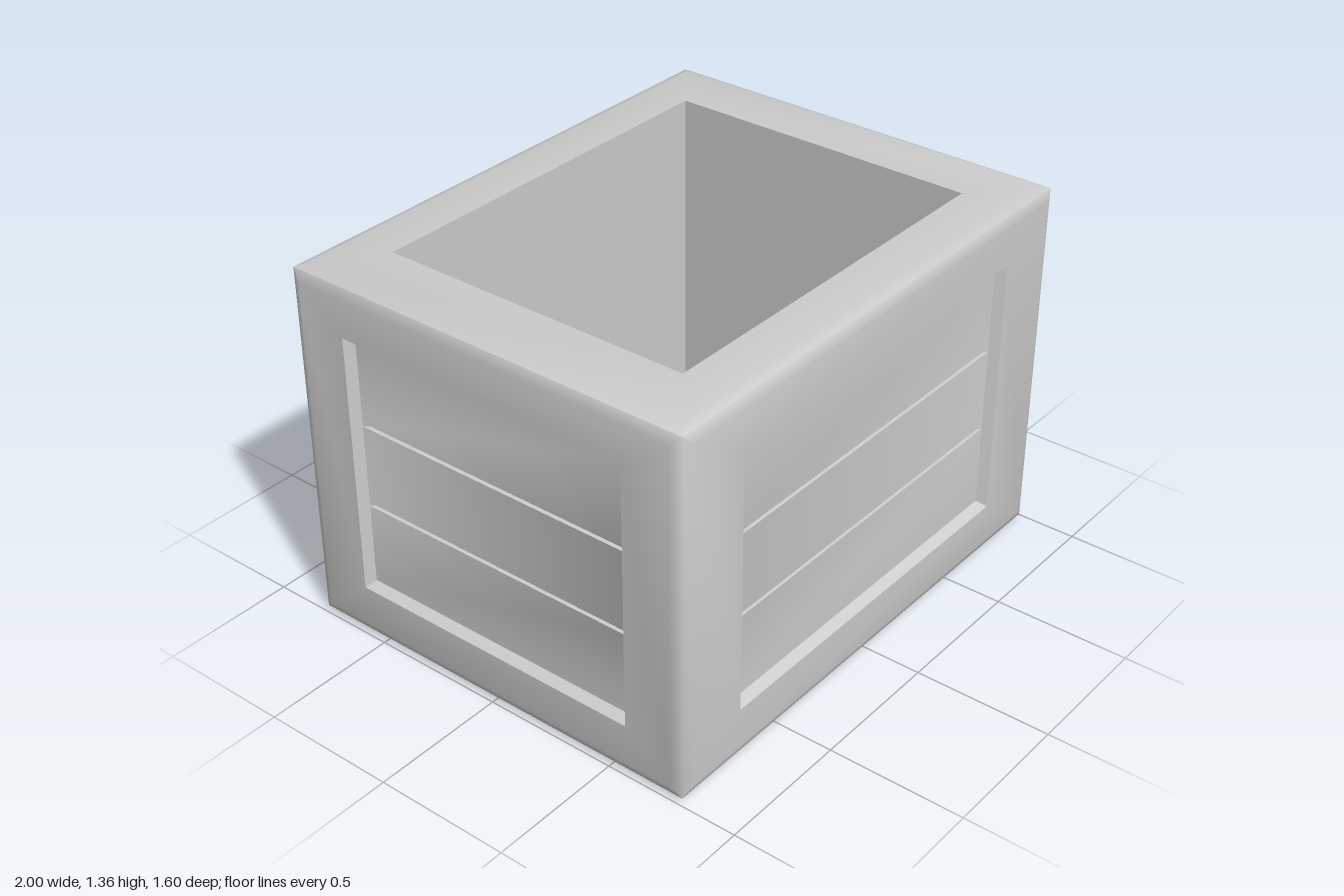
import * as THREE from 'three';
import { toCreasedNormals } from 'three/addons/utils/BufferGeometryUtils.js';

const HALF = new THREE.Vector3(1, 0.68, 0.8); // half size of the crate
const BEVEL = 0.05, MID = 0.015;              // bevel width and inset of its middle edge
const RECESS = 0.035, LIP = 0.02;             // depth and slope of the panel recess

const material = new THREE.MeshStandardMaterial({ color: 0xcccccc });

// A face of the crate: u runs right, v runs up, n points outwards
function face(name, u, v) {
  const U = new THREE.Vector3(...u), V = new THREE.Vector3(...v);
  const N = U.clone().cross(V);
  const size = (a) => Math.abs(a.dot(HALF));
  return {
    name, hu: size(U), hv: size(V), hn: size(N),
    at: (a, b, c) => new THREE.Vector3(0, HALF.y, 0)
      .addScaledVector(U, a).addScaledVector(V, b).addScaledVector(N, c),
  };
}

// Joins nested rectangles [u0, u1, v0, v1, n] from outside in; cap fills the last
function loft(out, f, rects, cap) {
  const loops = rects.map(([a, b, c, d, n]) =>
    [f.at(a, c, n), f.at(b, c, n), f.at(b, d, n), f.at(a, d, n)]);
  const quad = (p, q, r, s) => [p, q, r, p, r, s].forEach((w) => out.push(w.x, w.y, w.z));
  for (let i = 0; i + 1 < loops.length; i++) {
    const A = loops[i], B = loops[i + 1];
    for (let k = 0; k < 4; k++) {
      const j = (k + 1) % 4;
      quad(A[k], A[j], B[j], B[k]);
    }
  }
  if (cap) quad(...loops[loops.length - 1]);
}

function makeMesh(name, points) {
  const g = new THREE.BufferGeometry();
  g.setAttribute('position', new THREE.Float32BufferAttribute(points, 3));
  const mesh = new THREE.Mesh(toCreasedNormals(g, 0.9), material);
  mesh.name = name;
  return mesh;
}

// Sloped recess holding three boards parted by two narrow grooves
function makePanel(f, [u0, u1, v0, v1, n]) {
  const pts = [], depth = n - RECESS;
  const a = u0 + LIP, b = u1 - LIP, bottom = v0 + LIP, top = v1 - LIP;
  loft(pts, f, [[u0, u1, v0, v1, n], [a, b, bottom, top, depth]], false);
  let low = bottom;
  for (const y of [0.53, 0.84]) {
    const g0 = y - HALF.y - 0.007, g1 = g0 + 0.014;
    loft(pts, f, [[a, b, low, g0, depth]], true);
    loft(pts, f, [[a, b, g0, g1, depth],
      [a + 0.03, b - 0.03, g0 + 0.003, g1 - 0.003, depth - 0.02]], true);
    low = g1;
  }
  loft(pts, f, [[a, b, low, top, depth]], true);
  return makeMesh(f.name + 'BoardPanel', pts);
}

export function createModel() {
  const crate = new THREE.Group();
  crate.name = 'crate';
  const faces = [
    face('front', [1, 0, 0], [0, 1, 0]),
    face('back', [-1, 0, 0], [0, 1, 0]),
    face('left', [0, 0, -1], [0, 1, 0]),
    face('right', [0, 0, 1], [0, 1, 0]),
    face('top', [1, 0, 0], [0, 0, -1]),
    face('bottom', [1, 0, 0], [0, 0, 1]),
  ];
  const shell = [];
  for (const f of faces) {
    const inset = (d, n) => [d - f.hu, f.hu - d, d - f.hv, f.hv - d, n];
    const rim = [inset(MID, f.hn - MID), inset(BEVEL, f.hn)];
    if (f.name === 'bottom') {
      loft(shell, f, rim, true);
    } else if (f.name === 'top') {
      // Open top with the hollow below it
      const mouth = [-0.74, 0.74, -0.59, 0.59, f.hn];
      loft(shell, f, [...rim, mouth], false);
      const hollow = [];
      loft(hollow, f, [mouth, [-0.74, 0.74, -0.59, 0.59, 0.15 - HALF.y]], true);
      crate.add(makeMesh('hollow', hollow));
    } else {
      // Side frame around a recessed board panel
      const w = f.hu > 0.9 ? 0.715 : 0.57;
      const opening = [-w, w, 0.2 - HALF.y, 1.17 - HALF.y, f.hn];
      loft(shell, f, [...rim, opening], false);
      crate.add(makePanel(f, opening));
    }
  }
  crate.add(makeMesh('frame', shell));
  return crate;
}
